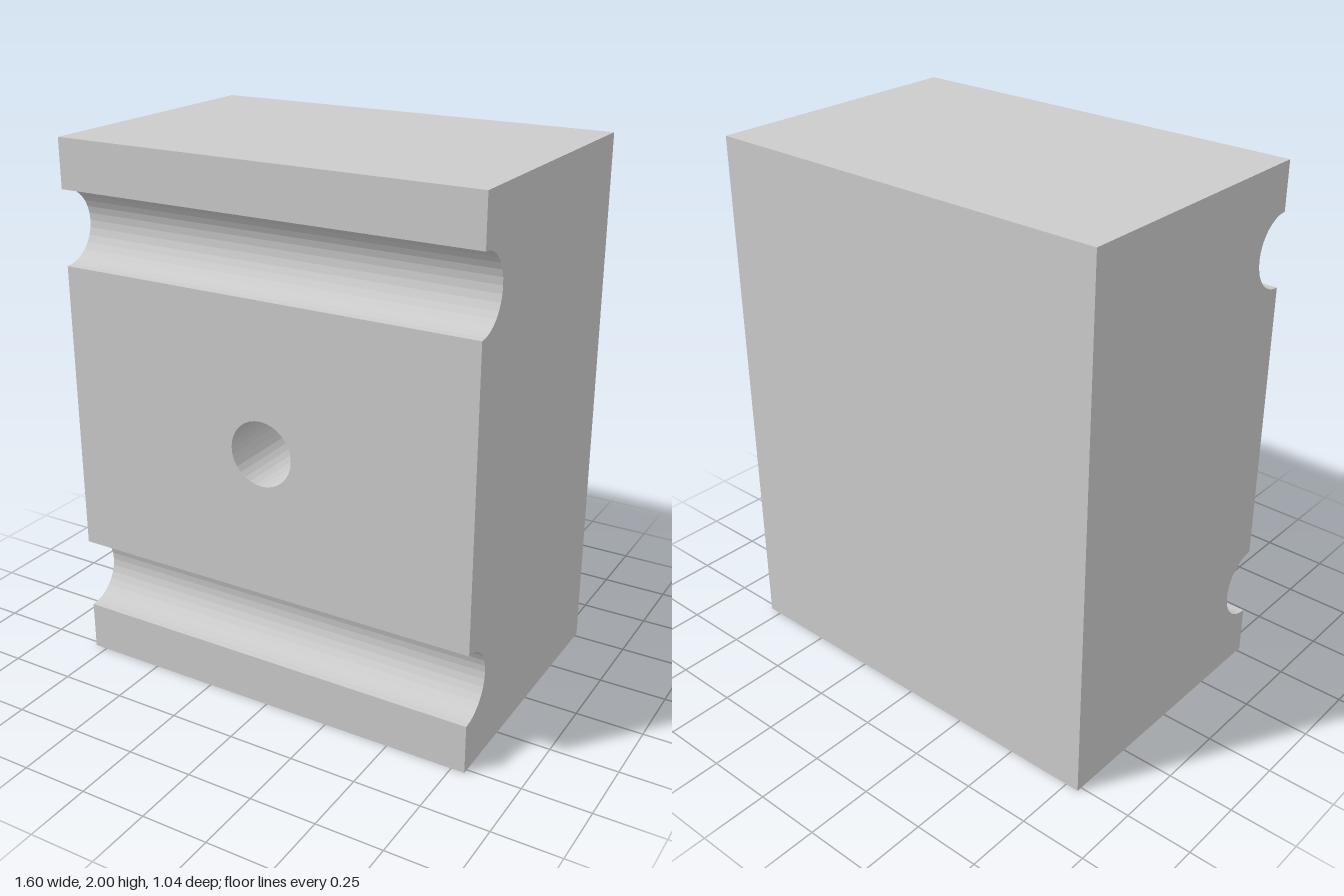
import * as THREE from 'three';

const W = 1.6, H = 2, HALF_D = 0.52;
const GROOVE_R = 0.137, GROOVE_Y = [1.683, 0.322];
const BORE_R = 0.12, BORE_DEPTH = 0.6, BORE_Y = 1;

export function createModel() {
  const group = new THREE.Group();
  const material = new THREE.MeshStandardMaterial({ color: 0xcccccc, flatShading: true });
  const boreMaterial = new THREE.MeshStandardMaterial({ color: 0xcccccc, flatShading: true, side: THREE.BackSide });
  const add = (name, geometry, mat = material) => {
    const mesh = new THREE.Mesh(geometry, mat);
    mesh.name = name;
    group.add(mesh);
  };

  // Side profile with two half-round grooves, swept across the width
  const profile = new THREE.Shape();
  profile.moveTo(-HALF_D, 0);
  profile.lineTo(HALF_D, 0);
  profile.lineTo(HALF_D, H);
  profile.lineTo(-HALF_D, H);
  for (const y of GROOVE_Y) profile.absarc(-HALF_D, y, GROOVE_R, Math.PI / 2, -Math.PI / 2, true);
  const swept = new THREE.ExtrudeGeometry(profile, { depth: W, bevelEnabled: false, curveSegments: 8 })
    .rotateY(Math.PI / 2).translate(-W / 2, 0, 0);

  // Leave the front open between the grooves, for the bored panel
  const p = swept.attributes.position;
  const kept = [];
  for (let i = 0; i < p.count; i += 3) {
    const corners = [i, i + 1, i + 2];
    const isPanel = corners.every((k) => p.getZ(k) > HALF_D - 1e-4 && p.getY(k) > 0.4 && p.getY(k) < 1.6);
    if (!isPanel) for (const k of corners) kept.push(p.getX(k), p.getY(k), p.getZ(k));
  }
  const body = new THREE.BufferGeometry();
  body.setAttribute('position', new THREE.Float32BufferAttribute(kept, 3));
  body.computeVertexNormals();
  add('groovedBlock', body);

  // Front panel with the round opening
  const low = GROOVE_Y[1] + GROOVE_R, high = GROOVE_Y[0] - GROOVE_R;
  const panel = new THREE.Shape([
    new THREE.Vector2(-W / 2, low), new THREE.Vector2(W / 2, low),
    new THREE.Vector2(W / 2, high), new THREE.Vector2(-W / 2, high),
  ]);
  panel.holes.push(new THREE.Path().absarc(0, BORE_Y, BORE_R, 0, Math.PI * 2, true));
  add('frontPanel', new THREE.ShapeGeometry(panel, 16).translate(0, 0, HALF_D));

  // Blind bore: inner wall and floor
  add('boreWall', new THREE.CylinderGeometry(BORE_R, BORE_R, BORE_DEPTH, 32, 1, true)
    .rotateX(Math.PI / 2).translate(0, BORE_Y, HALF_D - BORE_DEPTH / 2), boreMaterial);
  add('boreFloor', new THREE.CircleGeometry(BORE_R, 32).translate(0, BORE_Y, HALF_D - BORE_DEPTH));

  return group;
}
